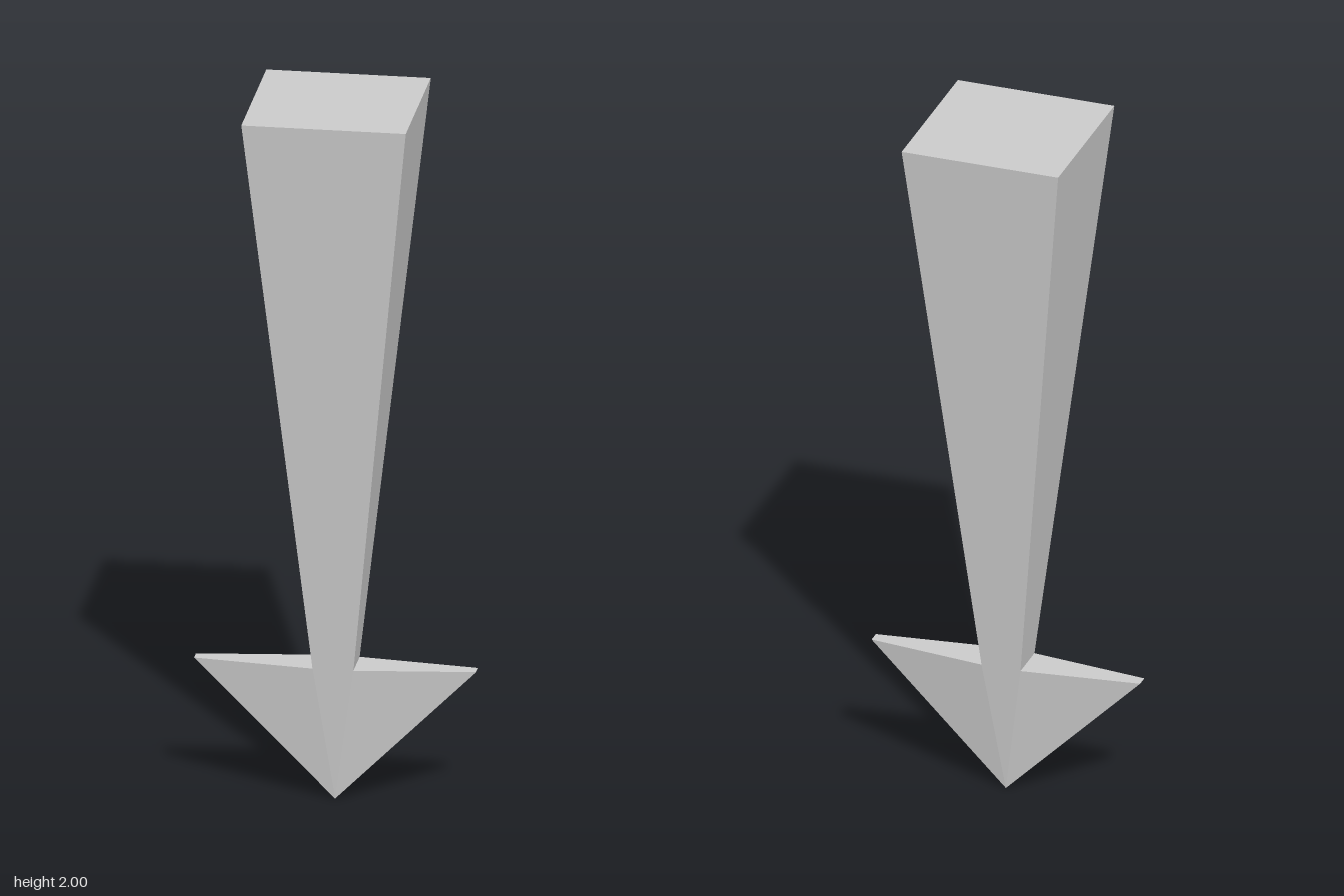
import * as THREE from 'three';

const TOP = 2, NECK_Y = 0.385;      // heights of the shaft end and the barbs
const T = 0.225, N = 0.056;         // half widths of the shaft at top and neck
const REACH = 0.386, E = 0.017;     // barb reach and half thickness of its edge

// Flat-shaded geometry from convex polygons with corners in counter-clockwise order
function fromPolygons(polygons) {
  const positions = [];
  for (const p of polygons) {
    for (let i = 1; i < p.length - 1; i++) positions.push(...p[0], ...p[i], ...p[i + 1]);
  }
  const geometry = new THREE.BufferGeometry();
  geometry.setAttribute('position', new THREE.Float32BufferAttribute(positions, 3));
  geometry.computeVertexNormals();
  return geometry;
}

export function createModel() {
  const group = new THREE.Group();
  const material = new THREE.MeshStandardMaterial({ color: 0xcccccc, flatShading: true });
  const add = (name, geometry, turn = 0) => {
    const mesh = new THREE.Mesh(geometry, material);
    mesh.name = name;
    mesh.rotation.y = turn;
    group.add(mesh);
  };

  // Square shaft, widening upwards
  const side = fromPolygons([[[-N, NECK_Y, N], [N, NECK_Y, N], [T, TOP, T], [-T, TOP, T]]]);
  for (let i = 0; i < 4; i++) add('shaftSide', side, i * Math.PI / 2);
  add('shaftTop', fromPolygons([[[-T, TOP, T], [T, TOP, T], [T, TOP, -T], [-T, TOP, -T]]]));

  // Half of the arrowhead: one barb and one centre facet, meeting at the tip
  const tipF = [0, 0, E], tipB = [0, 0, -E];
  const barbF = [REACH, NECK_Y, E], barbB = [REACH, NECK_Y, -E];
  const neckF = [N, NECK_Y, N], neckB = [N, NECK_Y, -N];
  const half = fromPolygons([
    [neckF, tipF, barbF],                 // front of barb
    [neckB, barbB, tipB],                 // back of barb
    [tipF, tipB, barbB, barbF],           // sloping outer edge
    [neckF, barbF, barbB, neckB],         // flat shoulder
    [[-N, NECK_Y, N], tipF, neckF],       // centre facet
  ]);
  add('leftBarb', half);
  add('rightBarb', half, Math.PI);

  return group;
}
